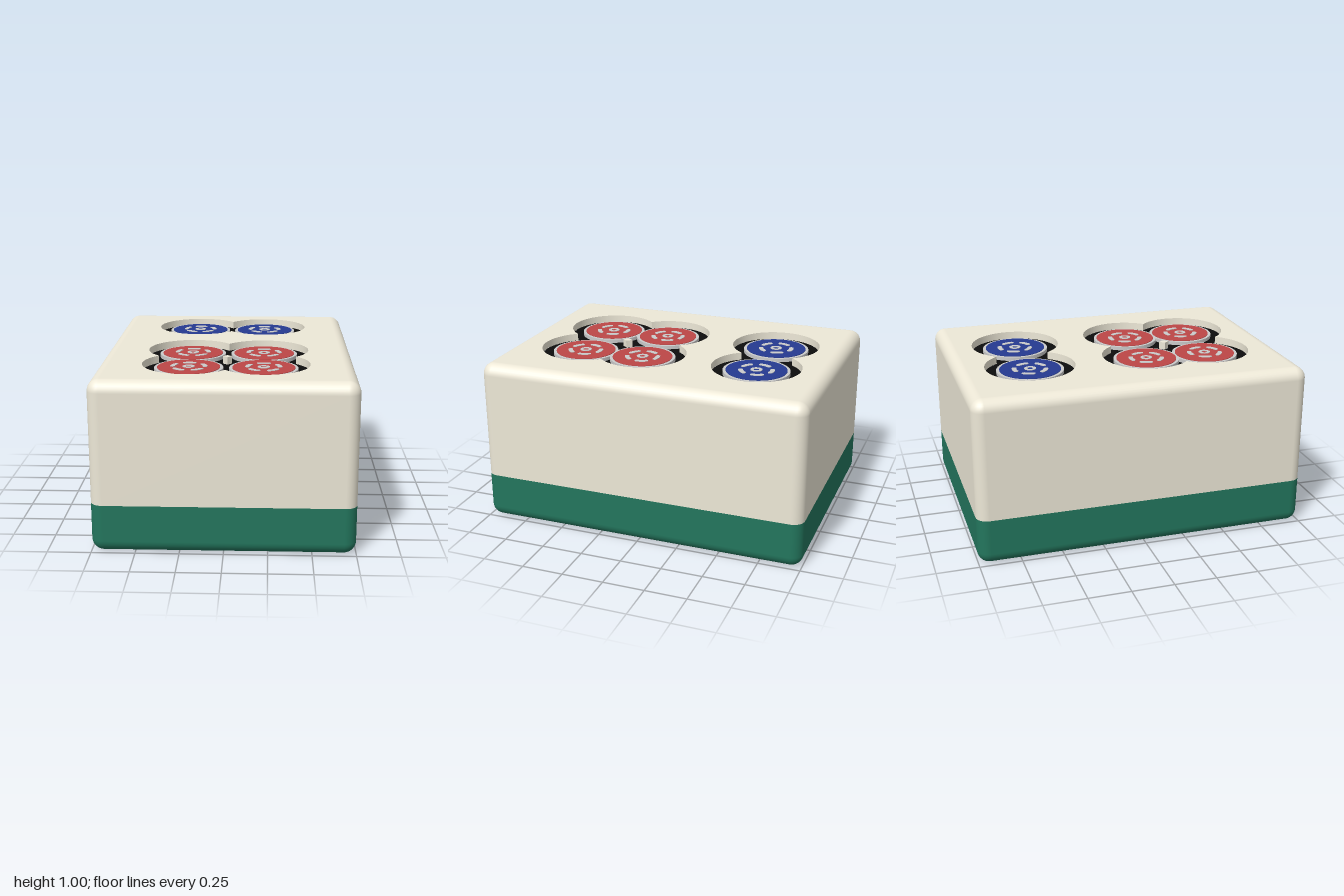
import * as THREE from 'three';
import { toCreasedNormals } from 'three/addons/utils/BufferGeometryUtils.js';

const HW = 0.75, HD = 1, H = 1, R = 0.07, SPLIT = 0.283;  // tile size, edge rounding, colour split
const HOLE = 0.27, DEPTH = 0.045;                         // recess radius and depth
const CX = 0.218, BLUE_Z = -0.559, RED_Z = [0.167, 0.548];
const PI = Math.PI;

const mat = (color, extra = {}) => new THREE.MeshStandardMaterial({ color, ...extra });
const ivory = mat(0xede8d7), green = mat(0x23765d), black = mat(0x0d0d0d);
const grey = mat(0xcccccc), red = mat(0xbd4747), blue = mat(0x253a91);

function add(parent, name, geometry, material, x = 0, y = 0, z = 0) {
  const mesh = new THREE.Mesh(geometry, material);
  mesh.name = name;
  mesh.position.set(x, y, z);
  parent.add(mesh);
  return mesh;
}

// Lay a shape flat (shape y becomes -z) with its top at y = 0
function slab(shape, depth, curveSegments = 24) {
  const g = new THREE.ExtrudeGeometry(shape, { depth, bevelEnabled: false, curveSegments });
  return toCreasedNormals(g.translate(0, 0, -depth).rotateX(-PI / 2), 0.5);
}

// Rounded wall: rows of [height, angle of the edge rounding], angle 0 is the straight side
function wall(rows) {
  const pos = [], nor = [], idx = [], seg = 8;
  let n = 0;
  for (const [y, tilt] of rows) {
    n = 0;
    for (let q = 0; q < 4; q++) {
      const sx = q === 0 || q === 3 ? 1 : -1, sz = q < 2 ? 1 : -1;
      for (let k = 0; k <= seg; k++, n++) {
        const t = (q + k / seg) * PI / 2, c = Math.cos(tilt);
        pos.push(sx * (HW - R) + R * c * Math.cos(t), y, sz * (HD - R) + R * c * Math.sin(t));
        nor.push(c * Math.cos(t), Math.sin(tilt), c * Math.sin(t));
      }
    }
  }
  for (let i = 0; i < rows.length - 1; i++) {
    for (let j = 0; j < n; j++) {
      const a = i * n + j, c = i * n + (j + 1) % n;
      idx.push(a, a + n, c, c, a + n, c + n);
    }
  }
  const g = new THREE.BufferGeometry();
  g.setAttribute('position', new THREE.Float32BufferAttribute(pos, 3));
  g.setAttribute('normal', new THREE.Float32BufferAttribute(nor, 3));
  g.setIndex(idx);
  return g;
}

// Outline made of circular arcs [x, y, startAngle, endAngle, clockwise]
function arcs(Type, list) {
  const p = new Type();
  for (const [x, y, a, b, cw = false] of list) p.absarc(x, y, HOLE, a, b, cw);
  return p;
}

// Round dash following a circle
function dash(angle, radius, half, w) {
  const a = angle - half, b = angle + half;
  const s = new THREE.Shape();
  s.absarc(0, 0, radius + w, a, b);
  s.absarc(radius * Math.cos(b), radius * Math.sin(b), w, b, b + PI);
  s.absarc(0, 0, radius - w, b, a, true);
  s.absarc(radius * Math.cos(a), radius * Math.sin(a), w, a + PI, a + 2 * PI);
  return s;
}

function makeDot(color) {
  const dot = new THREE.Group();
  const disc = (name, r, top, m) =>
    add(dot, name, new THREE.CylinderGeometry(r, r, DEPTH + top, 64), m, 0, (top - DEPTH) / 2);
  const floor = add(dot, 'recessFloor', new THREE.CircleGeometry(HOLE, 72), black, 0, -DEPTH);
  floor.rotation.x = -PI / 2;
  disc('dotRim', 0.201, -0.023, grey);
  disc('dotFace', 0.183, -0.02, color);
  // Centre ring and five dashes
  const ring = new THREE.Shape().absarc(0, 0, 0.036, 0, 2 * PI);
  ring.holes.push(new THREE.Path().absarc(0, 0, 0.017, 0, 2 * PI));
  add(dot, 'centreRing', slab(ring, 0.004), grey, 0, -0.017);
  for (let i = 0; i < 5; i++) {
    add(dot, 'dash', slab(dash(PI / 2 + i * 2 * PI / 5, 0.095, 0.29, 0.014), 0.004, 8), grey, 0, -0.017);
  }
  return dot;
}

export function createModel() {
  const tile = new THREE.Group();
  tile.name = 'tile';

  // Body: green base and ivory upper part
  const STEPS = 8, bottom = [], top = [];
  for (let i = 0; i <= STEPS; i++) {
    const t = i / STEPS * PI / 2;
    bottom.push([R - R * Math.cos(t), t - PI / 2]);
    top.push([H - R + R * Math.sin(t), t]);
  }
  // Sine and cosine run in opposite senses at the two ends
  bottom.forEach(row => { row[0] = R + R * Math.sin(row[1]); });
  add(tile, 'greenBase', wall([...bottom, [SPLIT, 0]]), green);
  add(tile, 'ivoryBody', wall([[SPLIT, 0], ...top]), ivory);
  const under = add(tile, 'underside', new THREE.PlaneGeometry(2 * (HW - R), 2 * (HD - R)), green);
  under.rotation.x = PI / 2;

  // Top plate with the merged recesses cut out
  const x = HW - R, z = HD - R;
  const plate = new THREE.Shape([[-x, -z], [x, -z], [x, z], [-x, z]].map(p => new THREE.Vector2(...p)));
  const mid = -(RED_Z[0] + RED_Z[1]) / 2, h = (RED_Z[1] - RED_Z[0]) / 2;
  const u = Math.acos(CX / HOLE), v = Math.acos(h / HOLE);
  plate.holes.push(
    arcs(THREE.Path, [[CX, -BLUE_Z, u - PI, PI - u], [-CX, -BLUE_Z, u, 2 * PI - u]]),
    arcs(THREE.Path, [
      [CX, mid + h, v - PI / 2, PI - u],
      [-CX, mid + h, u, 1.5 * PI - v],
      [-CX, mid - h, PI / 2 + v, 2 * PI - u],
      [CX, mid - h, PI + u, 2.5 * PI - v],
    ]));
  add(tile, 'topFace', slab(plate, DEPTH, 48), ivory, 0, H);

  // Small island left between the four lower recesses
  const island = arcs(THREE.Shape, [
    [CX, mid + h, 1.5 * PI - v, PI + u, true],
    [-CX, mid + h, 2 * PI - u, 1.5 * PI + v, true],
    [-CX, mid - h, PI / 2 - v, u, true],
    [CX, mid - h, PI - u, PI / 2 + v, true],
  ]);
  add(tile, 'island', slab(island, DEPTH, 4), ivory, 0, H);

  // Two blue dots at the back, four red ones in front
  for (const side of [-1, 1]) {
    for (const [dz, color, name] of [[BLUE_Z, blue, 'blueDot'], [RED_Z[0], red, 'redDot'], [RED_Z[1], red, 'redDot']]) {
      const dot = makeDot(color);
      dot.name = name;
      dot.position.set(side * CX, H, dz);
      tile.add(dot);
    }
  }
  return tile;
}
